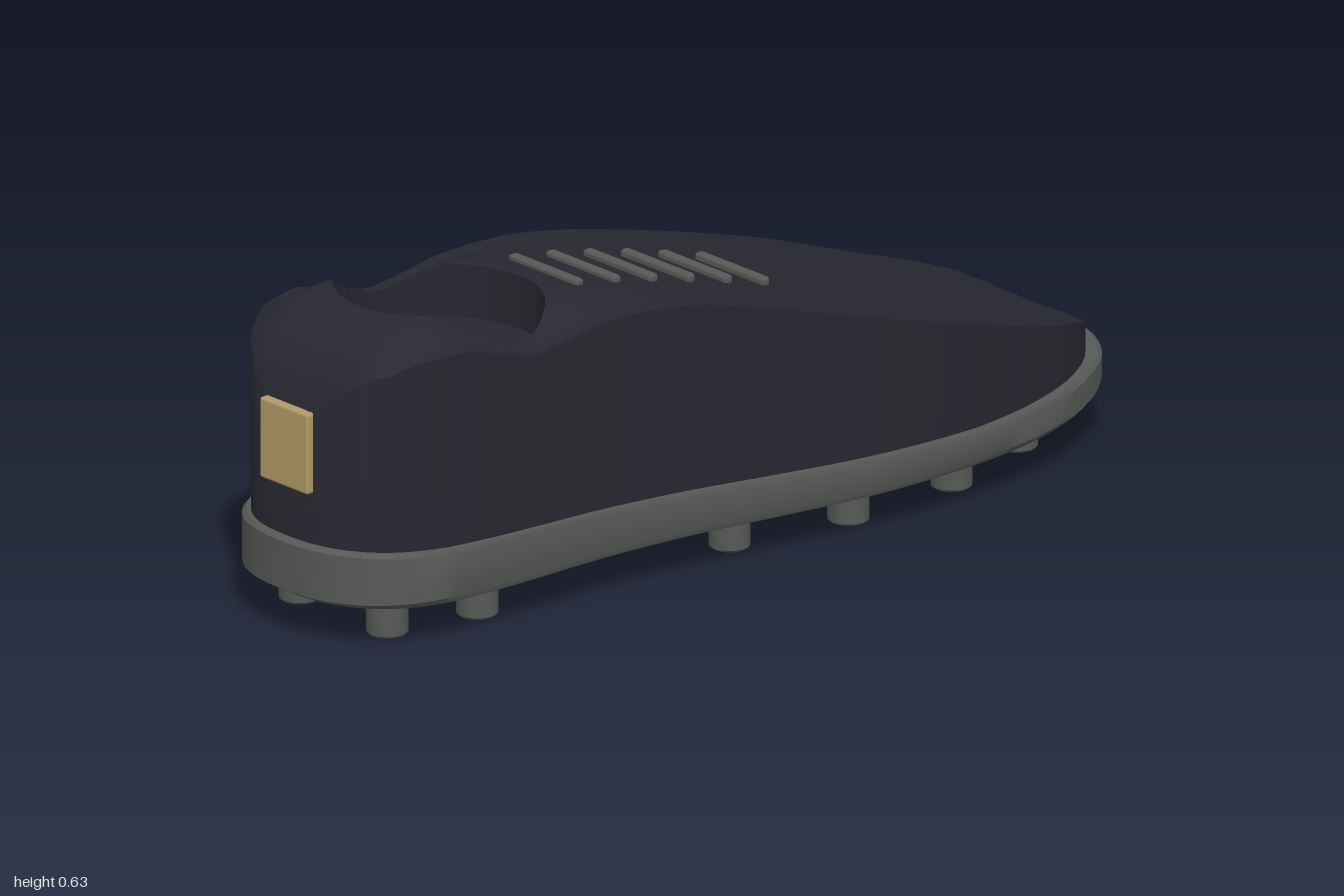
import * as THREE from 'three';
import { toCreasedNormals } from 'three/addons/utils/BufferGeometryUtils.js';
import { RoundedBoxGeometry } from 'three/addons/geometries/RoundedBoxGeometry.js';

const mat = (name, color) => new THREE.MeshStandardMaterial({ name, color });

// Piecewise profile: pairs of [x, y], read linearly
function profile(pts) {
  return (x) => {
    if (x <= pts[0][0]) return pts[0][1];
    for (let i = 1; i < pts.length; i++) {
      const [x0, y0] = pts[i - 1], [x1, y1] = pts[i];
      if (x <= x1) return y0 + ((y1 - y0) * (x - x0)) / (x1 - x0);
    }
    return pts[pts.length - 1][1];
  };
}

// Skin a stack of closed rings, each an array of [x, y, z]
function skin(rings, crease) {
  const n = rings[0].length, index = [];
  for (let r = 0; r < rings.length - 1; r++) {
    for (let j = 0; j < n; j++) {
      const k = (j + 1) % n;
      const a = r * n + j, b = r * n + k, c = a + n, d = b + n;
      index.push(a, c, b, b, c, d);
    }
  }
  const g = new THREE.BufferGeometry();
  g.setAttribute('position', new THREE.Float32BufferAttribute(rings.flat(2), 3));
  g.setIndex(index);
  return toCreasedNormals(g, crease);
}

// Footprint of the sole, toe at +x
function footprint() {
  const half = [
    [1, 0.05], [0.98, 0.12], [0.93, 0.195], [0.85, 0.25], [0.7, 0.31], [0.55, 0.34],
    [0.37, 0.35], [0.2, 0.342], [0, 0.312], [-0.2, 0.28], [-0.4, 0.264], [-0.7, 0.262],
    [-0.82, 0.25], [-0.91, 0.213], [-0.97, 0.15], [-1, 0.07],
  ];
  const all = [...half, ...half.map(([x, z]) => [x, -z]).reverse()];
  const curve = new THREE.CatmullRomCurve3(all.map(([x, z]) => new THREE.Vector3(x, 0, z)), true);
  return curve.getSpacedPoints(160).slice(0, -1).map((p) => [p.x, p.z]);
}

const soleTop = profile([[-1, 0.2], [-0.6, 0.185], [0, 0.165], [0.5, 0.15], [0.8, 0.153], [1, 0.174]]);
const soleBottom = profile([[0.8, 0.082], [0.88, 0.09], [0.94, 0.11], [1, 0.14]]);
const ridge = profile([
  [-0.985, 0.46], [-0.96, 0.52], [-0.93, 0.57], [-0.86, 0.622], [-0.75, 0.63], [-0.66, 0.605], [-0.57, 0.58],
  [-0.4, 0.59], [-0.3, 0.577], [-0.2, 0.557], [0, 0.508], [0.2, 0.45], [0.5, 0.363], [0.7, 0.296],
  [0.82, 0.262], [0.9, 0.235], [0.94, 0.2], [0.965, 0.165],
]);

// Top of the upper: the ridge profile with softened shoulders round the ankle
function upperTop(x, z) {
  const ankle = 1 - THREE.MathUtils.smoothstep(x, -0.6, -0.1);
  return ridge(x) - 0.045 * ankle * THREE.MathUtils.smoothstep(Math.abs(z), 0.13, 0.23);
}

function soleGeometry(outline) {
  const ring = (s, y) => outline.map(([x, z]) => [x * s, y(x * s), z * s]);
  const rings = [0, 0.4, 0.7, 0.8, 0.86, 0.92, 0.98].map((s) => ring(s, soleBottom));
  rings.push(ring(1, (x) => soleBottom(x) + 0.012));
  rings.push(ring(1, (x) => soleTop(x) - 0.008));
  rings.push(ring(0.99, soleTop));
  rings.push(ring(0.94, soleTop));
  return skin(rings, 0.6);
}

function upperGeometry(outline) {
  const cx = -0.6, radius = 0.205, floorY = 0.48, steps = 32;
  const edge = outline.map(([x, z]) => [x * 0.975 - 0.01, z * 0.94]);
  const rim = edge.map(([x, z]) => {
    const k = radius / Math.hypot(x - cx, z);
    return [cx + (x - cx) * k, z * k];
  });
  const rings = [
    edge.map(() => [0, 0.105, 0]),
    edge.map(([x, z]) => [x, 0.105, z]),
  ];
  // Walls up to the shoulder, then inward to the ankle opening
  for (let i = 0; i <= steps; i++) {
    const t = i / steps;
    rings.push(edge.map(([x, z], j) => {
      const px = x + (rim[j][0] - x) * t, pz = z + (rim[j][1] - z) * t;
      return [px, upperTop(px, pz), pz];
    }));
  }
  // Recess of the opening and its floor
  rings.push(rim.map(([x, z]) => [x, floorY, z]));
  rings.push(rim.map(() => [cx, floorY, 0]));
  return skin(rings, 0.6);
}

export function createModel() {
  const model = new THREE.Group();
  model.name = 'studdedShoe';
  const navy = mat('darkUpper', 0x272830);
  const grey = mat('greyRubber', 0x565955);
  const tan = mat('tanTab', 0xb09a66);
  const add = (name, geometry, material, x = 0, y = 0, z = 0) => {
    const m = new THREE.Mesh(geometry, material);
    m.name = name;
    m.position.set(x, y, z);
    model.add(m);
    return m;
  };

  const outline = footprint();
  add('sole', soleGeometry(outline), grey);
  add('upper', upperGeometry(outline), navy);

  // Lace bars across the instep
  const laceTops = [0.592, 0.576, 0.556, 0.533, 0.507, 0.48];
  const lace = new RoundedBoxGeometry(0.022, 0.02, 0.2, 2, 0.007);
  laceTops.forEach((top, i) => add('lace', lace, grey, -0.325 + i * 0.0955, top - 0.01, 0));

  // Tab on the back of the heel
  add('heelTab', new RoundedBoxGeometry(0.026, 0.165, 0.14, 2, 0.006), tan, -0.987, 0.385, 0);

  // Six mirrored pairs of studs
  const stud = toCreasedNormals(new THREE.LatheGeometry(
    [[0, 0], [0.036, 0], [0.041, 0.005], [0.041, 0.095]].map(([x, y]) => new THREE.Vector2(x, y)), 16), 0.6);
  const studs = [[0.755, 0.146], [0.515, 0.228], [0.24, 0.24], [-0.03, 0.2], [-0.645, 0.163], [-0.845, 0.128]];
  for (const [x, z] of studs) for (const side of [1, -1]) add('stud', stud, grey, x, 0, z * side);

  return model;
}
